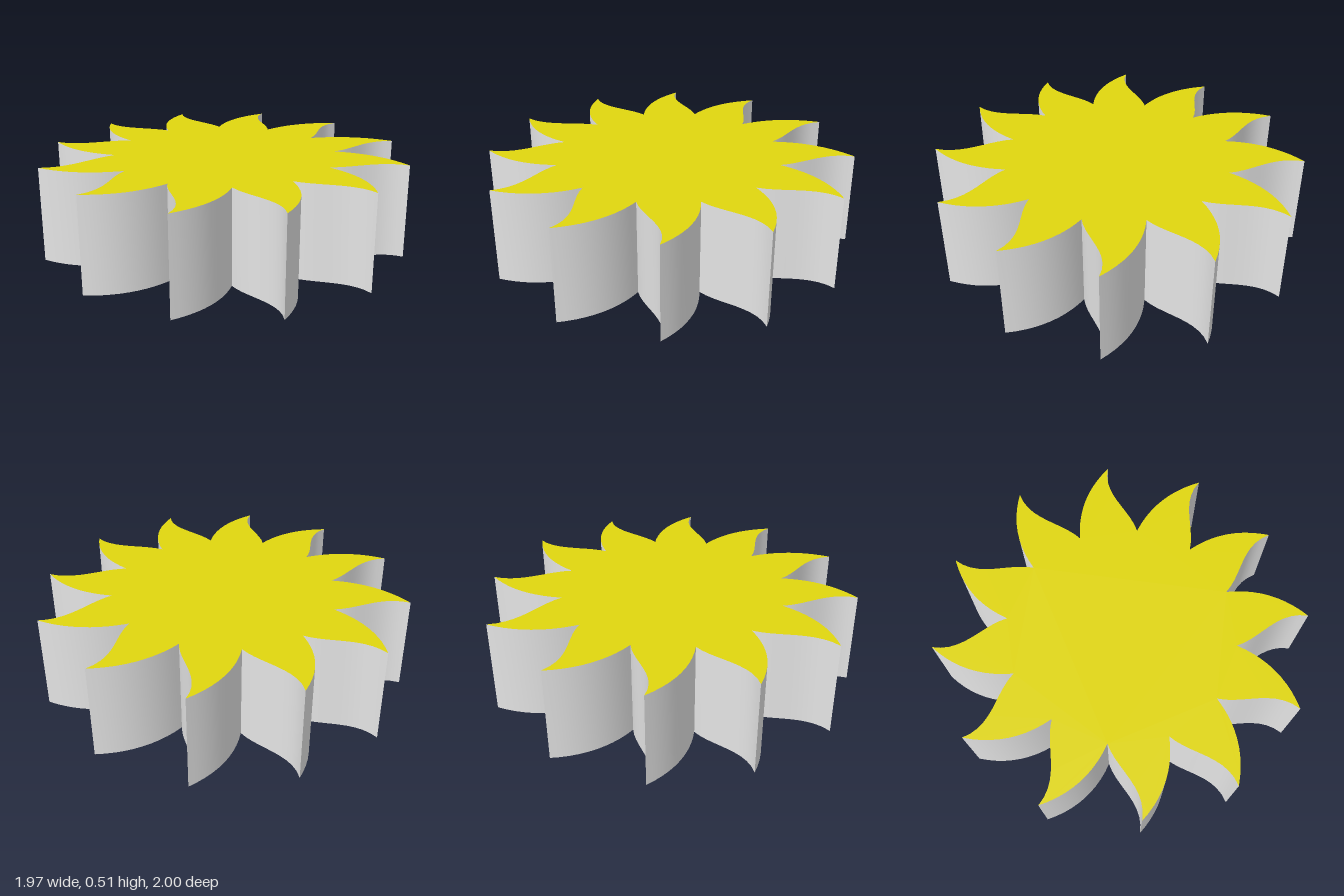
import * as THREE from 'three';
import { toCreasedNormals } from 'three/addons/utils/BufferGeometryUtils.js';

const HEIGHT = 0.51;

// Each ray, clockwise from above: tip x, z, then the valley after it x, z
const RAYS = [
  [0.03, -1.0, 0.14, -0.575],
  [0.525, -0.84, 0.42, -0.425],
  [0.885, -0.46, 0.58, -0.16],
  [0.985, 0.03, 0.58, 0.155],
  [0.84, 0.52, 0.43, 0.425],
  [0.47, 0.88, 0.165, 0.585],
  [-0.03, 0.995, -0.15, 0.595],
  [-0.51, 0.845, -0.42, 0.44],
  [-0.87, 0.485, -0.57, 0.17],
  [-0.985, -0.02, -0.59, -0.145],
  [-0.85, -0.52, -0.445, -0.42],
  [-0.48, -0.87, -0.165, -0.58],
];

// Curve between two points whose handles are pushed to the left of the chord
function bend(shape, from, to, push1, push2) {
  const chord = to.clone().sub(from);
  const side = new THREE.Vector2(-chord.y, chord.x).normalize();
  const a = from.clone().addScaledVector(chord, 1 / 3).addScaledVector(side, push1);
  const b = from.clone().addScaledVector(chord, 2 / 3).addScaledVector(side, push2);
  shape.bezierCurveTo(a.x, a.y, b.x, b.y, to.x, to.y);
}

function sunShape() {
  const shape = new THREE.Shape();
  const last = RAYS[RAYS.length - 1];
  let valley = new THREE.Vector2(last[2], -last[3]);
  shape.moveTo(valley.x, valley.y);
  for (const [tx, tz, vx, vz] of RAYS) {
    const tip = new THREE.Vector2(tx, -tz);
    const next = new THREE.Vector2(vx, -vz);
    bend(shape, valley, tip, 0.067, 0.067); // bulging edge
    bend(shape, tip, next, -0.09, 0.013);   // hooked edge
    valley = next;
  }
  return shape;
}

export function createModel() {
  const yellow = new THREE.MeshStandardMaterial({ color: 0xe0d60f });
  yellow.name = 'yellow';
  const gray = new THREE.MeshStandardMaterial({ color: 0xe4e4e4 });
  gray.name = 'light gray';

  let geometry = new THREE.ExtrudeGeometry(sunShape(), {
    depth: HEIGHT, bevelEnabled: false, curveSegments: 10,
  });
  geometry.rotateX(-Math.PI / 2);

  // Caps come first: underside, then top, then the walls
  const [caps, walls] = geometry.groups.map((g) => ({ ...g }));
  geometry = toCreasedNormals(geometry, 0.5);
  geometry.clearGroups();
  geometry.addGroup(0, caps.count / 2, 0);
  geometry.addGroup(caps.count / 2, caps.count / 2, 1);
  geometry.addGroup(walls.start, walls.count, 0);

  const sun = new THREE.Mesh(geometry, [gray, yellow]);
  sun.name = 'sunSlab';

  const group = new THREE.Group();
  group.name = 'sun';
  group.add(sun);
  return group;
}
